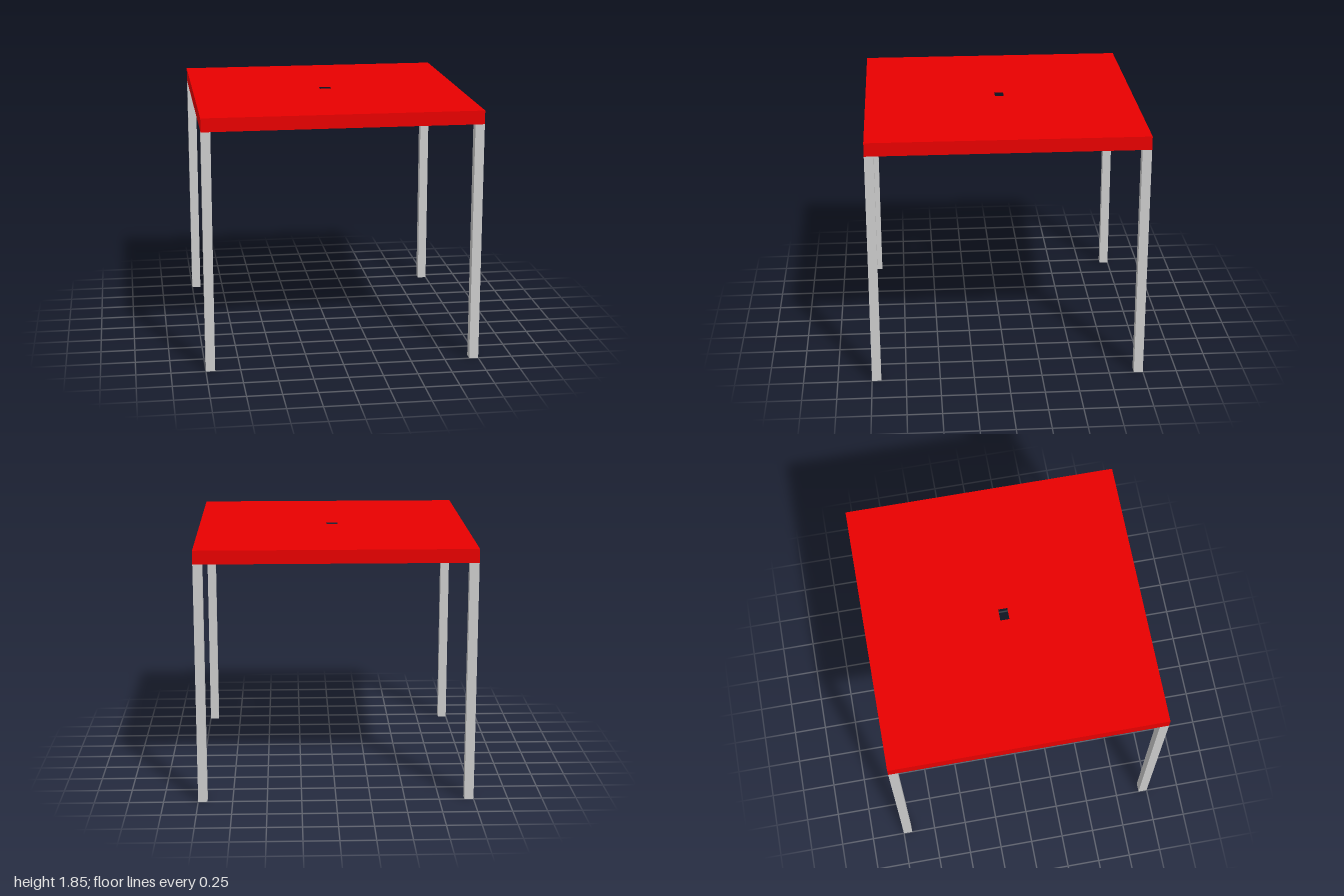
import * as THREE from 'three';

const HEIGHT = 1.853, UNDERSIDE = 1.755, LEG = 0.067;

// Thin square sheet with a rectangular opening, lying flat at height y
function sheet(name, holeWidth, holeDepth, y, material) {
  const rect = (target, w, d) => {
    target.moveTo(-w / 2, -d / 2);
    target.lineTo(w / 2, -d / 2);
    target.lineTo(w / 2, d / 2);
    target.lineTo(-w / 2, d / 2);
    target.closePath();
    return target;
  };
  const shape = rect(new THREE.Shape(), 2, 2);
  shape.holes.push(rect(new THREE.Path(), holeWidth, holeDepth));
  const geometry = new THREE.ShapeGeometry(shape).rotateX(-Math.PI / 2).translate(0, y, 0);
  const mesh = new THREE.Mesh(geometry, material);
  mesh.name = name;
  return mesh;
}

export function createModel() {
  const table = new THREE.Group();
  table.name = 'table';
  const red = new THREE.MeshStandardMaterial({ color: 0xe80000, flatShading: true, side: THREE.DoubleSide });
  const grey = new THREE.MeshStandardMaterial({ color: 0xcccccc });

  // Folded sheet top: panel with a small central opening, and a lip turned inward below
  const inner = 2 - 2 * LEG;
  table.add(sheet('tableTop', 0.086, 0.066, HEIGHT, red));
  table.add(sheet('lip', inner, inner, UNDERSIDE, red));

  // Skirt: open four-sided wall joining panel and lip
  const skirtGeometry = new THREE.CylinderGeometry(Math.SQRT2, Math.SQRT2, HEIGHT - UNDERSIDE, 4, 1, true);
  skirtGeometry.rotateY(Math.PI / 4).translate(0, (HEIGHT + UNDERSIDE) / 2, 0);
  const skirt = new THREE.Mesh(skirtGeometry, red);
  skirt.name = 'skirt';
  table.add(skirt);

  // Four square legs flush with the corners
  const legGeometry = new THREE.BoxGeometry(LEG, UNDERSIDE, LEG);
  for (const [x, side] of [[1, 'Left'], [-1, 'Right']]) {
    for (const [z, end] of [[1, 'front'], [-1, 'back']]) {
      const leg = new THREE.Mesh(legGeometry, grey);
      leg.name = `${end}${side}Leg`;
      leg.position.set(x * (1 - LEG / 2), UNDERSIDE / 2, z * (1 - LEG / 2));
      table.add(leg);
    }
  }
  return table;
}
